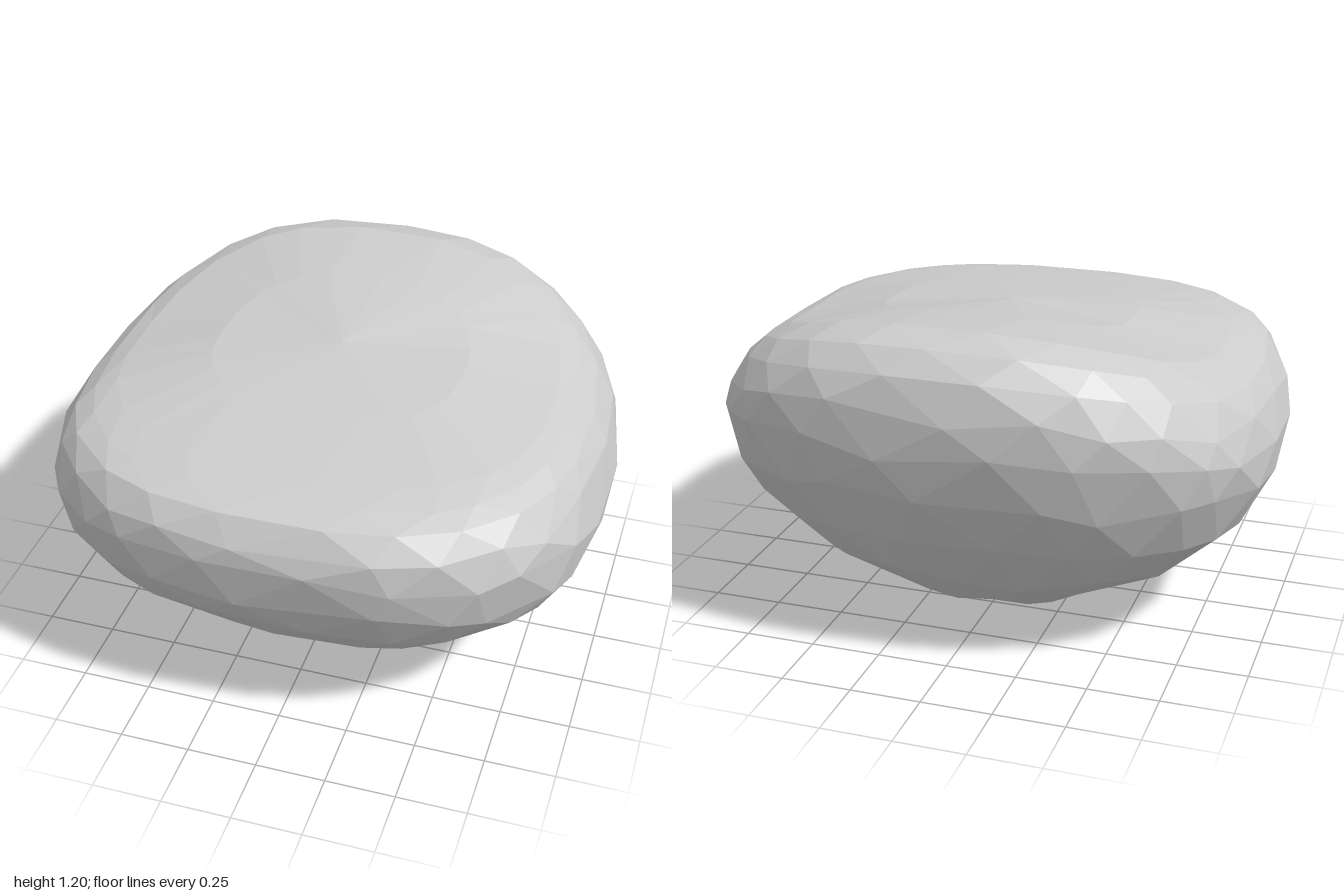
import * as THREE from 'three';

const SEGMENTS = 24;

// Cross-sections from base to crown:
// half width, side height, front z, front height, back z, back height
const RINGS = [
  [0.18, 0.01, 0.17, 0.015, -0.24, 0.005],
  [0.43, 0.09, 0.41, 0.10, -0.45, 0.10],
  [0.72, 0.24, 0.68, 0.32, -0.66, 0.29],
  [0.89, 0.39, 0.84, 0.50, -0.79, 0.48],
  [0.98, 0.55, 0.91, 0.64, -0.88, 0.66],
  [1.00, 0.69, 0.935, 0.79, -0.925, 0.84],
  [0.965, 0.83, 0.925, 0.89, -0.93, 0.98],
  [0.90, 0.92, 0.87, 0.97, -0.89, 1.09],
  [0.84, 0.97, 0.79, 0.99, -0.82, 1.165],
  [0.77, 1.00, 0.68, 1.01, -0.70, 1.20],
  [0.45, 1.075, 0.36, 1.055, -0.40, 1.165],
];

// Small seeded generator, from -0.5 to 0.5
function seeded(seed) {
  return () => {
    seed = (seed * 16807) % 2147483647;
    return seed / 2147483647 - 0.5;
  };
}

// Rounded-square ring, following the tilted top and wandering between levels
function ringPoints(ring, level, random) {
  const points = [];
  for (let j = 0; j < SEGMENTS; j++) {
    const a = ((j + (level % 2) * 0.5 + random() * 0.4) / SEGMENTS) * Math.PI * 2;
    const drift = level > 0 && level < 7 ? random() * 0.5 : 0;
    const next = RINGS[level + Math.sign(drift)];
    const [w, ys, zf, yf, zb, yb] = ring.map((v, k) => v + (next[k] - v) * Math.abs(drift));
    const front = Math.sin(a) > 0;
    const power = 2 / (level < 2 ? 2.1 : 2.6);
    const c = Math.sign(Math.cos(a)) * Math.abs(Math.cos(a)) ** power;
    const s = Math.abs(Math.sin(a)) ** power;
    // The raised back falls away towards its corners
    const rise = s ** (!front && level > 5 ? 2.2 : 1.2);
    points.push([w * c, ys + ((front ? yf : yb) - ys) * rise, (front ? zf : zb) * s]);
  }
  return points;
}

function createStoneGeometry() {
  const random = seeded(4177);
  const vertices = RINGS.flatMap((ring, i) => ringPoints(ring, i, random));
  const base = vertices.push([0, 0, -0.08]) - 1;
  const crown = vertices.push([0, 1.105, -0.02]) - 1;
  const at = (i, j) => i * SEGMENTS + (j % SEGMENTS);
  const index = [];
  const last = RINGS.length - 1;

  for (let j = 0; j < SEGMENTS; j++) {
    // Staggered triangles between neighbouring rings
    for (let i = 0; i < last; i++) {
      const l0 = at(i, j), l1 = at(i, j + 1), u0 = at(i + 1, j), u1 = at(i + 1, j + 1);
      if (i % 2 === 0) index.push(l0, u0, l1, u0, u1, l1);
      else index.push(l0, u0, u1, l0, u1, l1);
    }
    // Close the base and the crown
    index.push(base, at(0, j), at(0, j + 1));
    index.push(crown, at(last, j + 1), at(last, j));
  }

  const indexed = new THREE.BufferGeometry();
  indexed.setAttribute('position', new THREE.Float32BufferAttribute(vertices.flat(), 3));
  indexed.setIndex(index);
  // Separate faces give hard facets
  const geometry = indexed.toNonIndexed();
  geometry.computeVertexNormals();
  return geometry;
}

export function createModel() {
  const group = new THREE.Group();
  group.name = 'boulder';
  const stoneGrey = new THREE.MeshStandardMaterial({ color: 0xcccccc });
  stoneGrey.name = 'stoneGrey';
  const stone = new THREE.Mesh(createStoneGeometry(), stoneGrey);
  stone.name = 'stone';
  group.add(stone);
  return group;
}
